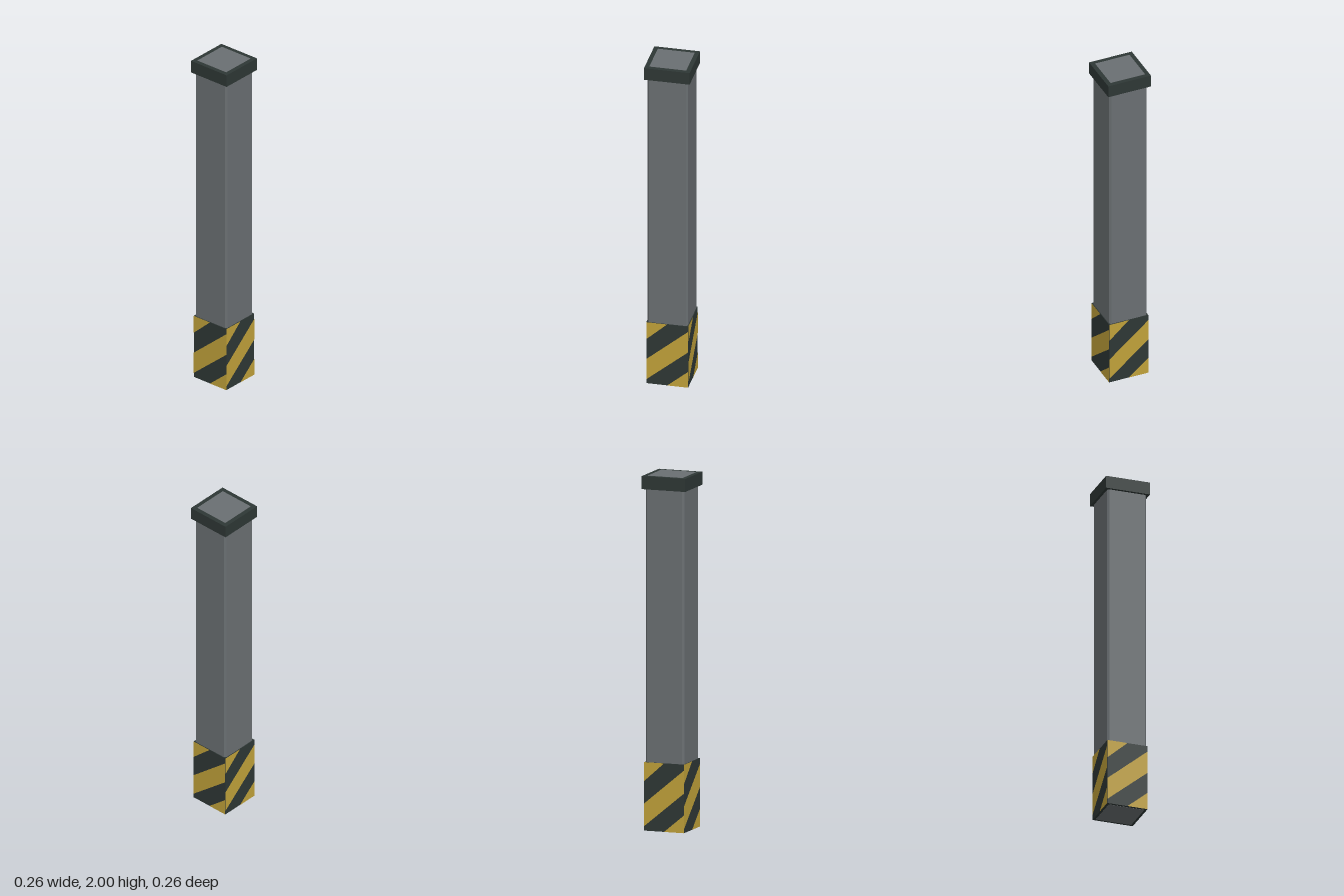
import * as THREE from 'three';

const grey = new THREE.MeshStandardMaterial({ name: 'steelGrey', color: 0x6a6f72 });
const dark = new THREE.MeshStandardMaterial({ name: 'darkTrim', color: 0x2e3735 });
const yellow = new THREE.MeshStandardMaterial({ name: 'hazardYellow', color: 0xc0a13a });

const POST = 0.115, BEVEL = 0.01, BASE = 0.119, BASE_H = 0.387;
const CAP = 0.13, CAP_H = 0.073;

function add(parent, name, geometry, material, x = 0, y = 0, z = 0) {
  const mesh = new THREE.Mesh(geometry, material);
  mesh.name = name;
  mesh.position.set(x, y, z);
  parent.add(mesh);
  return mesh;
}

const polygon = (points) => new THREE.Shape(points.map(([x, y]) => new THREE.Vector2(x, y)));

export function createModel() {
  const model = new THREE.Group();
  model.name = 'bollardPost';

  // Square shaft with chamfered vertical edges
  const a = POST, b = POST - BEVEL;
  const section = polygon([[a, -b], [a, b], [b, a], [-b, a], [-a, b], [-a, -b], [-b, -a], [b, -a]]);
  const bottom = 0.02, top = 1.98;
  const shaft = new THREE.ExtrudeGeometry(section, { depth: top - bottom, bevelEnabled: false });
  shaft.rotateX(-Math.PI / 2);
  add(model, 'shaft', shaft, grey, 0, bottom, 0);

  // Overhanging cap and base sleeve
  add(model, 'cap', new THREE.BoxGeometry(CAP * 2, CAP_H, CAP * 2), dark, 0, 2 - CAP_H / 2 - 0.001, 0);
  add(model, 'baseSleeve', new THREE.BoxGeometry(BASE * 2, BASE_H - 0.001, BASE * 2), dark, 0, BASE_H / 2 + 0.0005, 0);

  // Shaft ends showing through the cap and the sleeve
  const endPlate = new THREE.BoxGeometry(b * 2, 0.004, b * 2);
  add(model, 'topPlate', endPlate, grey, 0, 1.998, 0);
  add(model, 'bottomPlate', endPlate, grey, 0, 0.002, 0);

  // Diagonal hazard stripes, the same on all four sides
  const w = BASE, h = BASE_H;
  const stripes = new THREE.ShapeGeometry([
    polygon([[-w, 0.28], [0, h], [-w, h]]),
    polygon([[-w, 0.026], [w, 0.224], [w, 0.354], [-w, 0.154]]),
    polygon([[0, 0.001], [w, 0.001], [w, 0.101]]),
  ]);
  for (let i = 0; i < 4; i++) {
    const side = new THREE.Group();
    side.name = 'stripedSide';
    side.rotation.y = i * Math.PI / 2;
    add(side, 'hazardStripes', stripes, yellow, 0, 0, BASE + 0.001);
    model.add(side);
  }

  return model;
}
